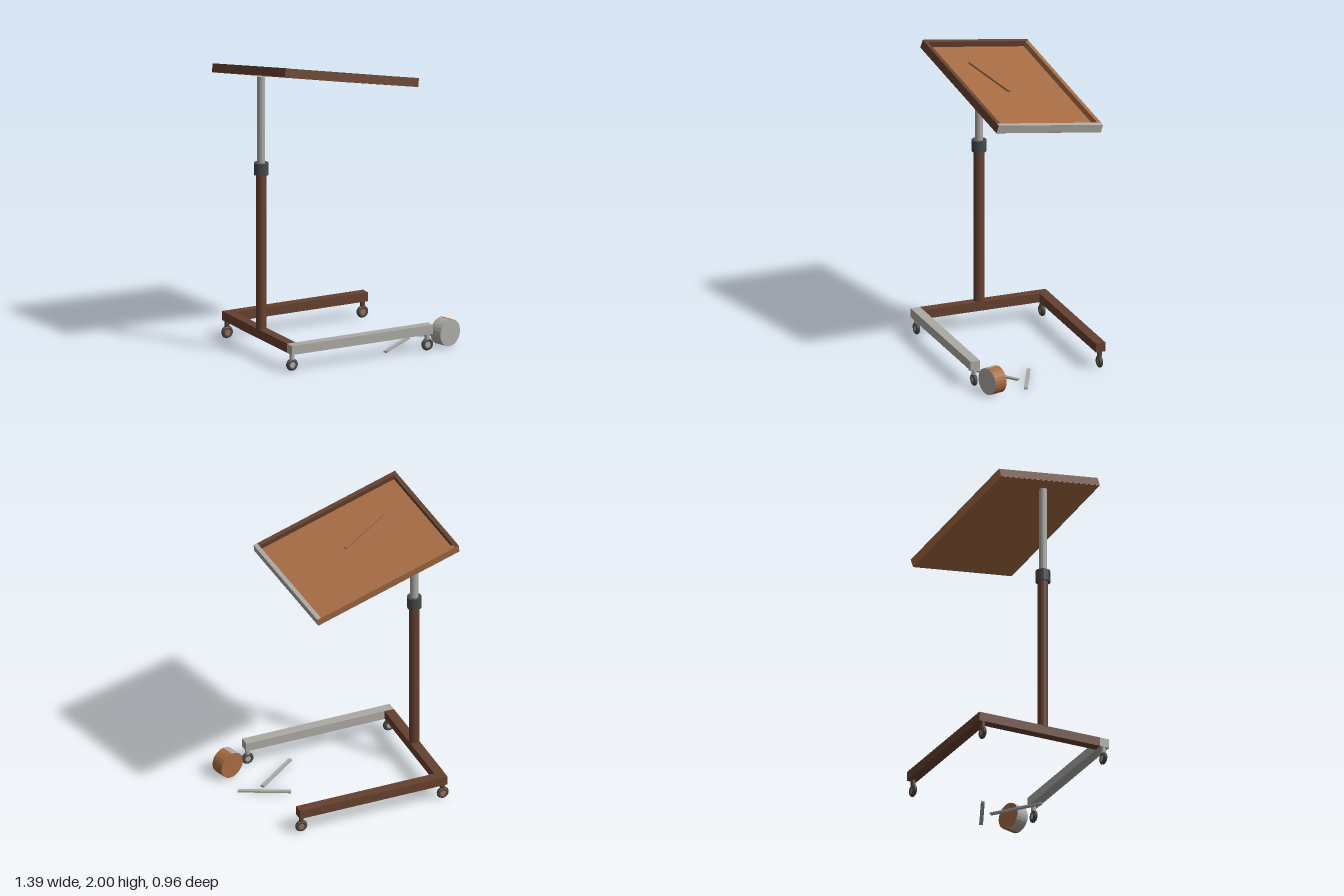
import * as THREE from 'three';

const paint = (name, color) => {
  const m = new THREE.MeshStandardMaterial({ color });
  m.name = name;
  return m;
};

export function createModel() {
  const copper = paint('copper', 0xa56b43);
  const brown = paint('dark brown', 0x66412f);
  const grey = paint('light grey', 0xacaaa4);
  const charcoal = paint('charcoal', 0x46484c);

  const model = new THREE.Group();
  model.name = 'overbedTable';

  // Faceted mesh helper
  const add = (parent, name, geometry, material, x = 0, y = 0, z = 0) => {
    const flat = geometry.toNonIndexed();
    flat.computeVertexNormals();
    const mesh = new THREE.Mesh(flat, material);
    mesh.name = name;
    mesh.position.set(x, y, z);
    parent.add(mesh);
    return mesh;
  };
  const box = (parent, name, size, material, x, y, z) =>
    add(parent, name, new THREE.BoxGeometry(...size), material, x, y, z);
  const rod = (name, r, y0, y1, material, x, z) =>
    add(model, name, new THREE.CylinderGeometry(r, r, y1 - y0, 20), material, x, (y0 + y1) / 2, z);

  // Base frame
  box(model, 'frontLeg', [1.026, 0.06, 0.066], grey, -0.057, 0.146, 0.442);
  box(model, 'backLeg', [1.026, 0.06, 0.066], brown, -0.057, 0.146, -0.421);
  box(model, 'crossBar', [0.064, 0.06, 0.8], brown, -0.539, 0.146, 0.01);

  // Casters: tyre, hub, axle pin and stem
  for (const [z, hub, stem] of [[0.442, grey, grey], [-0.421, copper, brown]]) {
    for (const x of [-0.551, 0.433]) {
      const wheel = new THREE.Group();
      wheel.name = 'casterWheel';
      wheel.position.set(x, 0.043, z);
      add(wheel, 'tyre', new THREE.TorusGeometry(0.027, 0.014, 10, 20), charcoal);
      add(wheel, 'hub', new THREE.CylinderGeometry(0.02, 0.02, 0.022, 16), hub).rotation.x = Math.PI / 2;
      model.add(wheel);
      rod('casterStem', 0.016, 0.078, 0.118, stem, x, z);
    }
  }

  // Telescopic column
  rod('outerPost', 0.034, 0.17, 1.2, brown, -0.542, 0.015);
  rod('collar', 0.047, 1.197, 1.275, charcoal, -0.542, 0.015);
  rod('innerPost', 0.026, 1.27, 1.85, grey, -0.542, 0.015);

  // Tilted tray, built level in its own axes
  const tray = new THREE.Group();
  tray.name = 'tray';
  const along = new THREE.Vector3(0.969, -0.221, -0.103).normalize();
  const up = new THREE.Vector3(0.196, 0.958, -0.21);
  up.addScaledVector(along, -up.dot(along)).normalize();
  const across = new THREE.Vector3().crossVectors(along, up);
  tray.quaternion.setFromRotationMatrix(new THREE.Matrix4().makeBasis(along, up, across));
  tray.position.set(-0.117, 1.783, -0.039);
  model.add(tray);
  const L = 1.063, W = 0.786, H = 0.057, T = 0.028;
  box(tray, 'trayFloor', [L - 0.004, 0.02, W - 0.004], copper, 0, -H / 2 + 0.01, 0);
  const rimH = H - 0.001, rimY = 0.0005;
  box(tray, 'frontRim', [L - 0.002, rimH, T], brown, 0, rimY, W / 2 - T / 2);
  box(tray, 'backRim', [L - 0.002, rimH, T], copper, 0, rimY, -W / 2 + T / 2);
  box(tray, 'rightRim', [T, rimH, W - 0.002], brown, -L / 2 + T / 2, rimY + 0.001, 0);
  box(tray, 'leftRim', [T, rimH, W - 0.002], grey, L / 2 - T / 2, rimY + 0.001, 0);
  box(tray, 'stickOnTray', [0.372, 0.014, 0.02], copper, -0.12, -0.003, 0.1).rotation.y = 0.295;

  // Loose sticks on the ground, each between two (x, z) ends
  for (const [x0, z0, x1, z1] of [[0.313, 0.018, 0.622, 0.162], [0.168, 0.366, 0.458, 0.146]]) {
    const stick = box(model, 'looseStick', [Math.hypot(x1 - x0, z1 - z0), 0.012, 0.024], grey,
      (x0 + x1) / 2, 0.009, (z0 + z1) / 2);
    stick.rotation.y = -Math.atan2(z1 - z0, x1 - x0);
  }

  // Two-tone drum lying on its side: copper left half and back, grey right half and front
  const n = 24;
  const drumShape = new THREE.CylinderGeometry(0.0885, 0.0885, 0.09, n);
  drumShape.clearGroups();
  drumShape.addGroup(0, n * 3, 0);
  drumShape.addGroup(n * 3, n * 6, 1);
  drumShape.addGroup(n * 9, n * 3, 0);
  const drum = add(model, 'drum', drumShape, [copper, grey], 0.598, 0.0885, 0.38);
  drum.rotation.set(Math.PI / 2, 0.285, 0, 'YXZ');

  return model;
}
